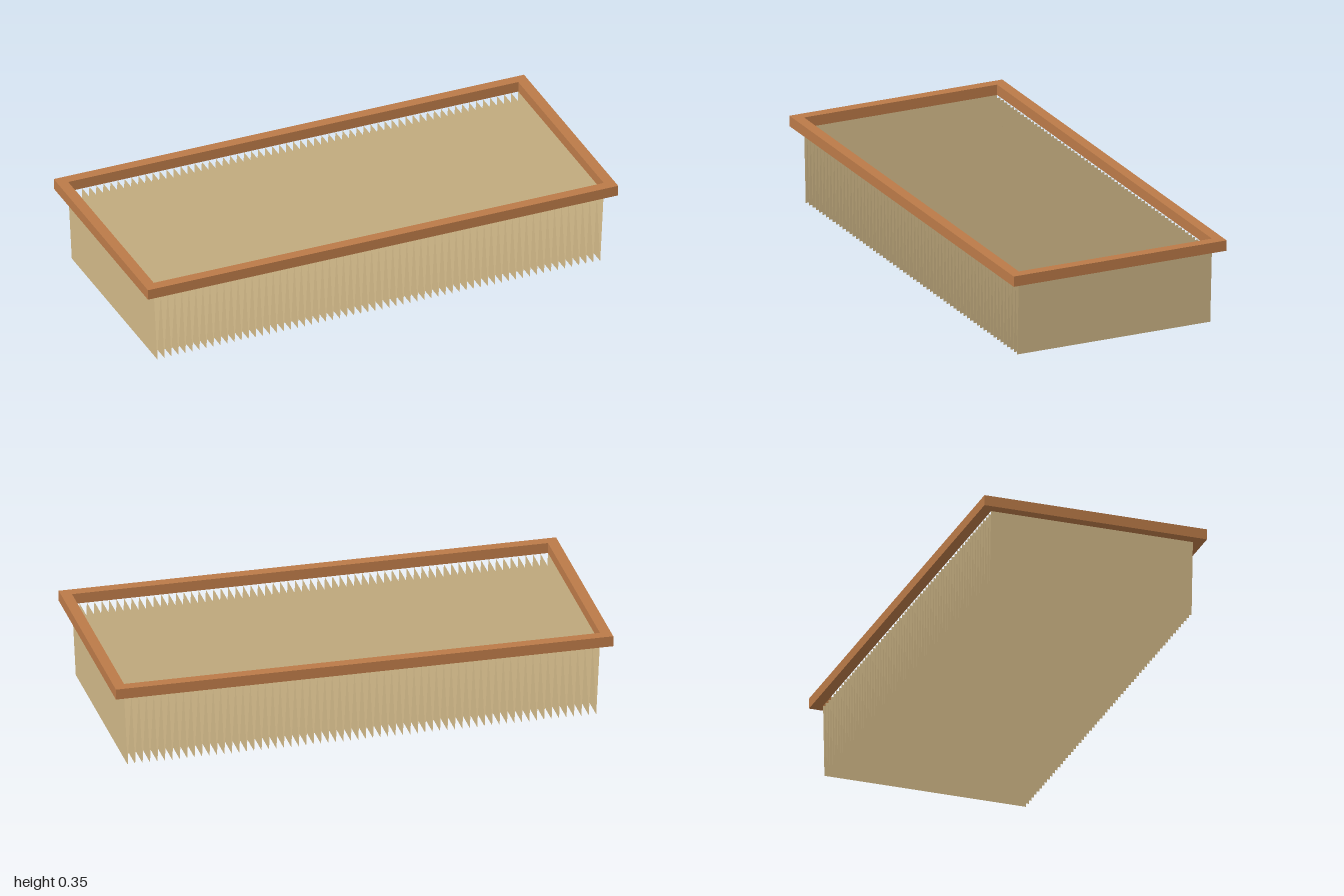
import * as THREE from 'three';

const PLEATS = 64;
const FRAME_BOTTOM = 0.308, FRAME_TOP = 0.351;
const INNER_X = 0.957, INNER_Z = 0.419, OUTER_X = 1, OUTER_Z = 0.462;

const frameMat = new THREE.MeshStandardMaterial({ name: 'brown frame', color: 0xbb7a48 });
const paperMat = new THREE.MeshStandardMaterial({
  name: 'tan filter paper', color: 0xd4bb8a, side: THREE.DoubleSide, flatShading: true,
});

// Traces a centred rectangle on a shape or hole path
function rectangle(path, hx, hy) {
  path.moveTo(-hx, -hy);
  path.lineTo(hx, -hy);
  path.lineTo(hx, hy);
  path.lineTo(-hx, hy);
  path.closePath();
  return path;
}

// Flat rectangular rim with an open middle
function makeFrame() {
  const shape = rectangle(new THREE.Shape(), OUTER_X, OUTER_Z);
  shape.holes.push(rectangle(new THREE.Path(), INNER_X, INNER_Z));
  const geo = new THREE.ExtrudeGeometry(shape, { depth: FRAME_TOP - FRAME_BOTTOM, bevelEnabled: false });
  geo.rotateX(-Math.PI / 2).translate(0, FRAME_BOTTOM, 0);
  const mesh = new THREE.Mesh(geo, frameMat);
  mesh.name = 'frame';
  return mesh;
}

// One sheet folded up and down along x, starting and ending at the top
function makePleats() {
  const sheet = new THREE.PlaneGeometry(2 * INNER_X, 2 * INNER_Z, PLEATS * 2, 1).rotateX(-Math.PI / 2);
  const pos = sheet.attributes.position;
  const columns = PLEATS * 2 + 1;
  for (let i = 0; i < pos.count; i++) {
    pos.setY(i, (i % columns) % 2 === 0 ? FRAME_BOTTOM : 0);
  }
  const geo = sheet.toNonIndexed();
  geo.computeVertexNormals();
  const mesh = new THREE.Mesh(geo, paperMat);
  mesh.name = 'pleatedPaper';
  return mesh;
}

export function createModel() {
  const model = new THREE.Group();
  model.name = 'pleatedFilter';
  model.add(makeFrame(), makePleats());
  return model;
}
